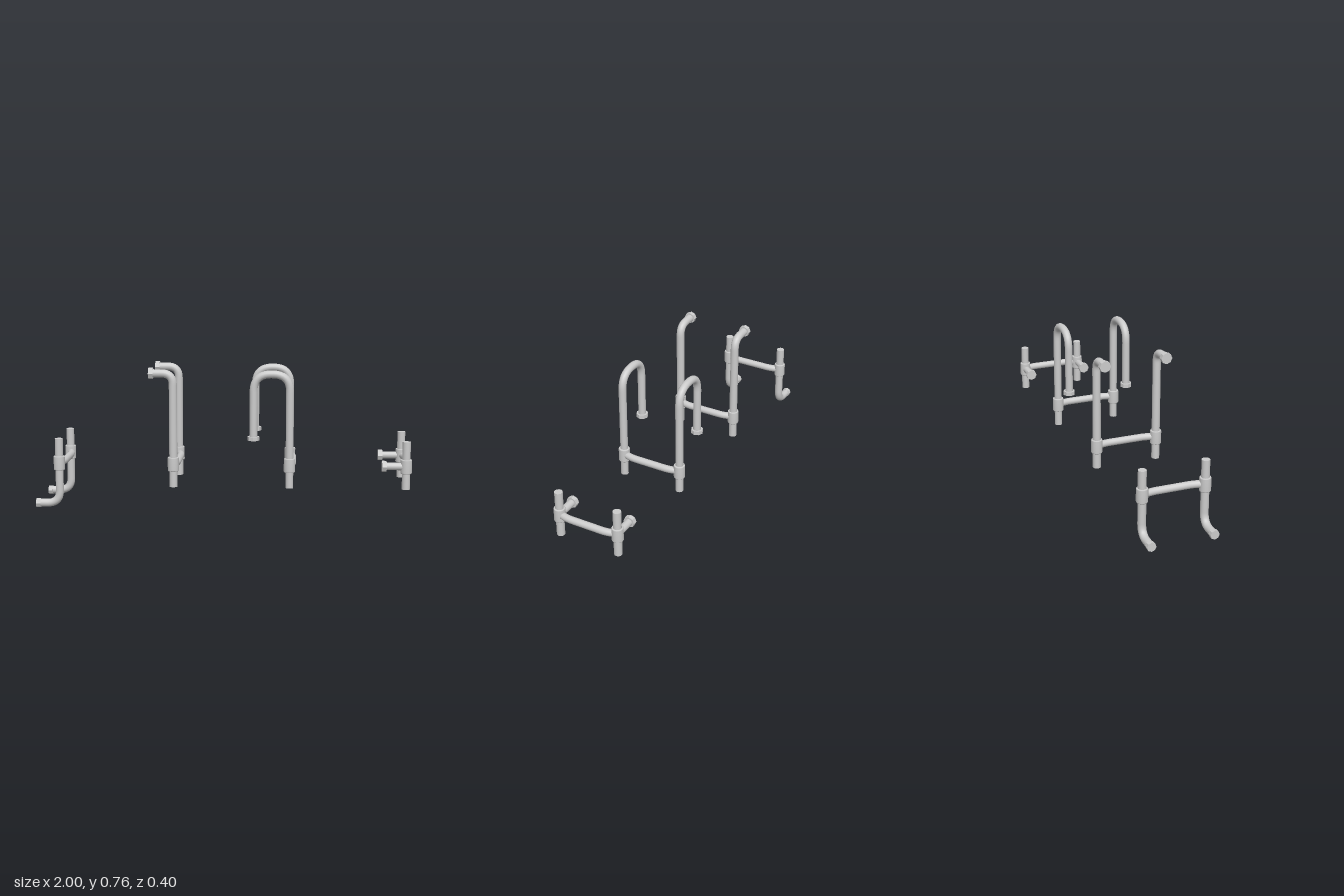
import * as THREE from 'three';

const material = new THREE.MeshStandardMaterial({ color: 0xcccccc });
const RAIL_Z = 0.167, RUNG_Y = 0.247, PIPE_R = 0.0215;

function addMesh(parent, name, geometry) {
  const mesh = new THREE.Mesh(geometry, material);
  mesh.name = name;
  parent.add(mesh);
  return mesh;
}

// Path through the given corners, each rounded off by the given bend size
function bentPath(points, bend) {
  const path = new THREE.CurvePath();
  const p = points.map((a) => new THREE.Vector3(...a));
  let from = p[0];
  for (let i = 1; i < p.length - 1; i++) {
    const toward = (q) => p[i].clone().add(q.clone().sub(p[i]).setLength(bend));
    const start = toward(p[i - 1]), end = toward(p[i + 1]);
    path.add(new THREE.LineCurve3(from, start));
    path.add(new THREE.QuadraticBezierCurve3(start, p[i], end));
    from = end;
  }
  path.add(new THREE.LineCurve3(from, p[p.length - 1]));
  return path;
}

// Round pipe with closed ends
function addPipe(parent, name, points, bend = 0, radius = PIPE_R) {
  const group = new THREE.Group();
  group.name = name;
  parent.add(group);
  const path = bentPath(points, bend);
  addMesh(group, name + 'Tube', new THREE.TubeGeometry(path, points.length > 2 ? 64 : 1, radius, 16, false));
  for (const t of [0, 1]) {
    const out = path.getTangent(t).multiplyScalar(t ? 1 : -1);
    const disc = addMesh(group, name + 'End', new THREE.CircleGeometry(radius, 16));
    disc.position.copy(path.getPoint(t));
    disc.quaternion.setFromUnitVectors(new THREE.Vector3(0, 0, 1), out);
  }
}

// Octagonal end cap, along x or along y
function addCap(parent, x, y, radius, length, alongX) {
  const cap = addMesh(parent, 'endCap', new THREE.CylinderGeometry(radius, radius, length, 8).toNonIndexed());
  cap.geometry.computeVertexNormals();
  cap.position.set(x, y, 0);
  if (alongX) cap.rotation.z = Math.PI / 2;
}

// Collar where the rung meets the post, with softly bevelled rims
function addCollar(parent, x) {
  const profile = [[0.02, -0.037], [0.028, -0.037], [0.03, -0.033], [0.03, 0.033], [0.028, 0.037], [0.02, 0.037]];
  const collar = addMesh(parent, 'collar',
    new THREE.LatheGeometry(profile.map(([r, y]) => new THREE.Vector2(r, y)), 16));
  collar.position.set(x, RUNG_Y, 0);
}

// The four ladder sections; each builds one rail in the z = 0 plane
const sections = [
  { name: 'footSection', x: -0.873, rail(g, x) {
    addPipe(g, 'footRail', [[x, 0.379, 0], [x, 0.028, 0], [-0.998, 0.028, 0]], 0.07);
    addCap(g, -0.988, 0.0275, 0.0245, 0.024, true);
  } },
  { name: 'wallTopSection', x: -0.262, rail(g, x) {
    addPipe(g, 'topRail', [[x, 0.125, 0], [x, 0.73, 0], [-0.387, 0.73, 0]], 0.06);
    addCap(g, -0.378, 0.73, 0.03, 0.024, true);
  } },
  { name: 'archSection', x: 0.353, rail(g, x) {
    addPipe(g, 'archRail', [[x, 0.125, 0], [x, 0.729, 0], [0.162, 0.729, 0], [0.162, 0.382, 0]], 0.092, 0.0205);
    addCap(g, 0.162, 0.389, 0.032, 0.021, false);
  } },
  { name: 'wallMountSection', x: 0.965, rail(g, x) {
    addPipe(g, 'post', [[x, 0.125, 0], [x, 0.379, 0]]);
    addPipe(g, 'bracketArm', [[x, RUNG_Y, 0], [0.841, RUNG_Y, 0]], 0, 0.02);
    addCap(g, 0.85, RUNG_Y, 0.03, 0.024, true);
  } },
];

export function createModel() {
  const model = new THREE.Group();
  model.name = 'pipeLadderKit';
  for (const { name, x, rail } of sections) {
    const section = new THREE.Group();
    section.name = name;
    model.add(section);
    for (const side of [1, -1]) {
      const railGroup = new THREE.Group();
      railGroup.name = side > 0 ? 'frontRail' : 'backRail';
      railGroup.position.z = side * RAIL_Z;
      rail(railGroup, x);
      addCollar(railGroup, x);
      section.add(railGroup);
    }
    // Rung bowed slightly outward from the posts
    const out = x + 0.016;
    addPipe(section, 'rung', [
      [x, RUNG_Y, RAIL_Z], [out, RUNG_Y, RAIL_Z - 0.055],
      [out, RUNG_Y, -RAIL_Z + 0.055], [x, RUNG_Y, -RAIL_Z],
    ], 0.03, 0.019);
  }
  return model;
}
